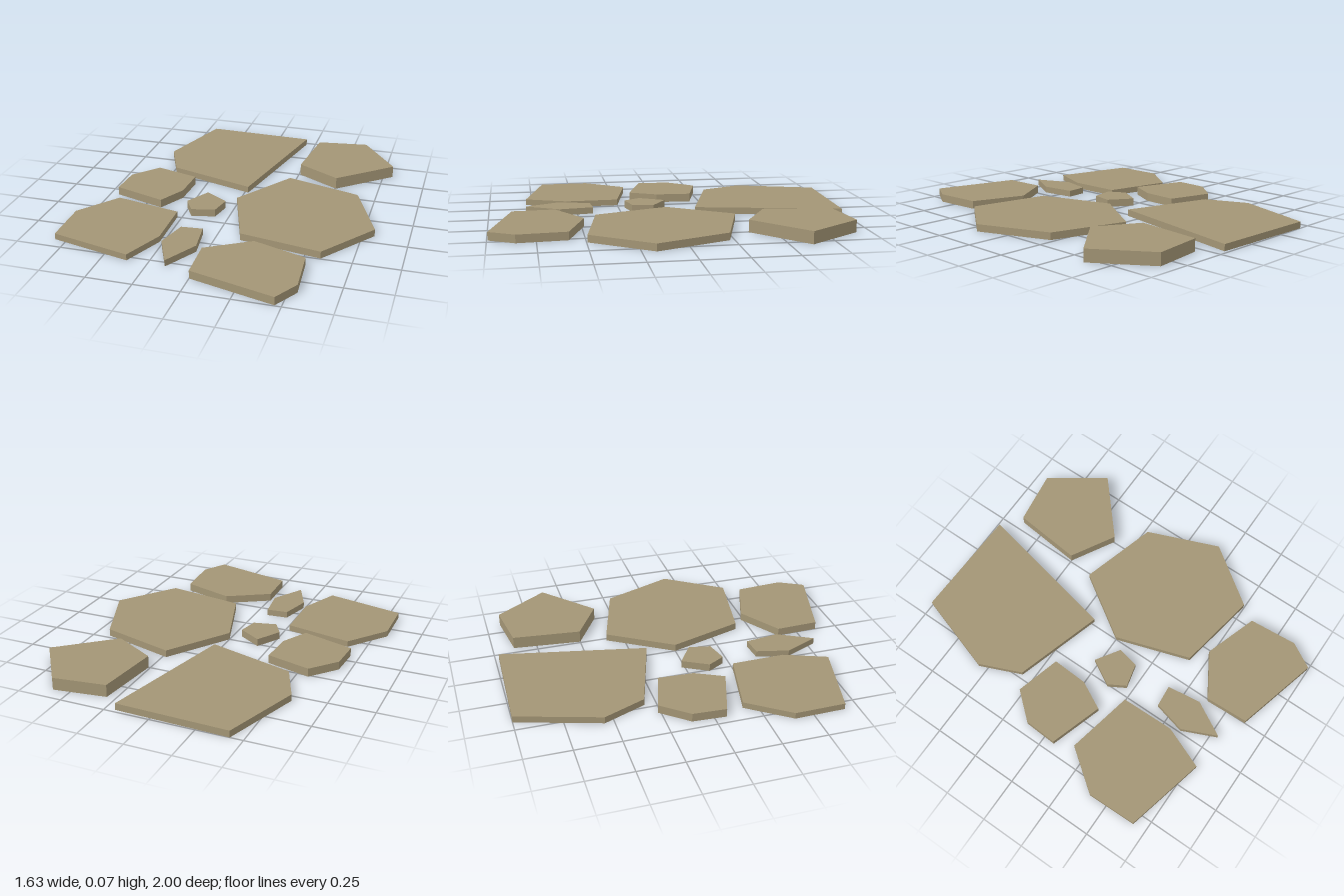
import * as THREE from 'three';

// Each paving stone: name, thickness, outline as [x, z] corners
const STONES = [
  ['backLeftSlab', 0.037, [[-0.43, -1], [0.195, -0.98], [0.02, -0.165], [-0.475, -0.315], [-0.575, -0.55]]],
  ['backRightSlab', 0.068, [[0.3, -0.88], [0.595, -0.92], [0.805, -0.62], [0.505, -0.36], [0.26, -0.5]]],
  ['largeCentreSlab', 0.04, [[0.23, -0.35], [0.655, -0.225], [0.815, 0.175], [0.585, 0.495], [0.135, 0.415], [0, 0]]],
  ['middleLeftSlab', 0.047, [[-0.565, -0.265], [-0.315, -0.195], [-0.325, 0.005], [-0.405, 0.16], [-0.7, 0.065], [-0.69, -0.12]]],
  ['smallCentreStone', 0.042, [[-0.18, -0.02], [-0.05, 0.065], [-0.075, 0.185], [-0.205, 0.215], [-0.26, 0.12]]],
  ['frontLeftSlab', 0.034, [[-0.65, 0.17], [-0.275, 0.25], [-0.27, 0.55], [-0.365, 0.785], [-0.815, 0.675], [-0.82, 0.395]]],
  ['smallFrontStone', 0.036, [[-0.195, 0.42], [-0.075, 0.41], [-0.05, 0.6], [-0.155, 0.79], [-0.24, 0.6]]],
  ['frontRightSlab', 0.045, [[0.23, 0.485], [0.525, 0.585], [0.545, 0.855], [0.465, 0.995], [0, 0.87], [-0.01, 0.63]]],
];

export function createModel() {
  const group = new THREE.Group();
  group.name = 'steppingStones';
  const stone = new THREE.MeshStandardMaterial({ color: 0xa39575 });
  stone.name = 'sandstone';

  for (const [name, depth, outline] of STONES) {
    // Draw the outline flat, then raise it along y
    const shape = new THREE.Shape(outline.map(([x, z]) => new THREE.Vector2(x, -z)));
    const geometry = new THREE.ExtrudeGeometry(shape, { depth, bevelEnabled: false });
    geometry.rotateX(-Math.PI / 2);
    const mesh = new THREE.Mesh(geometry, stone);
    mesh.name = name;
    group.add(mesh);
  }
  return group;
}
